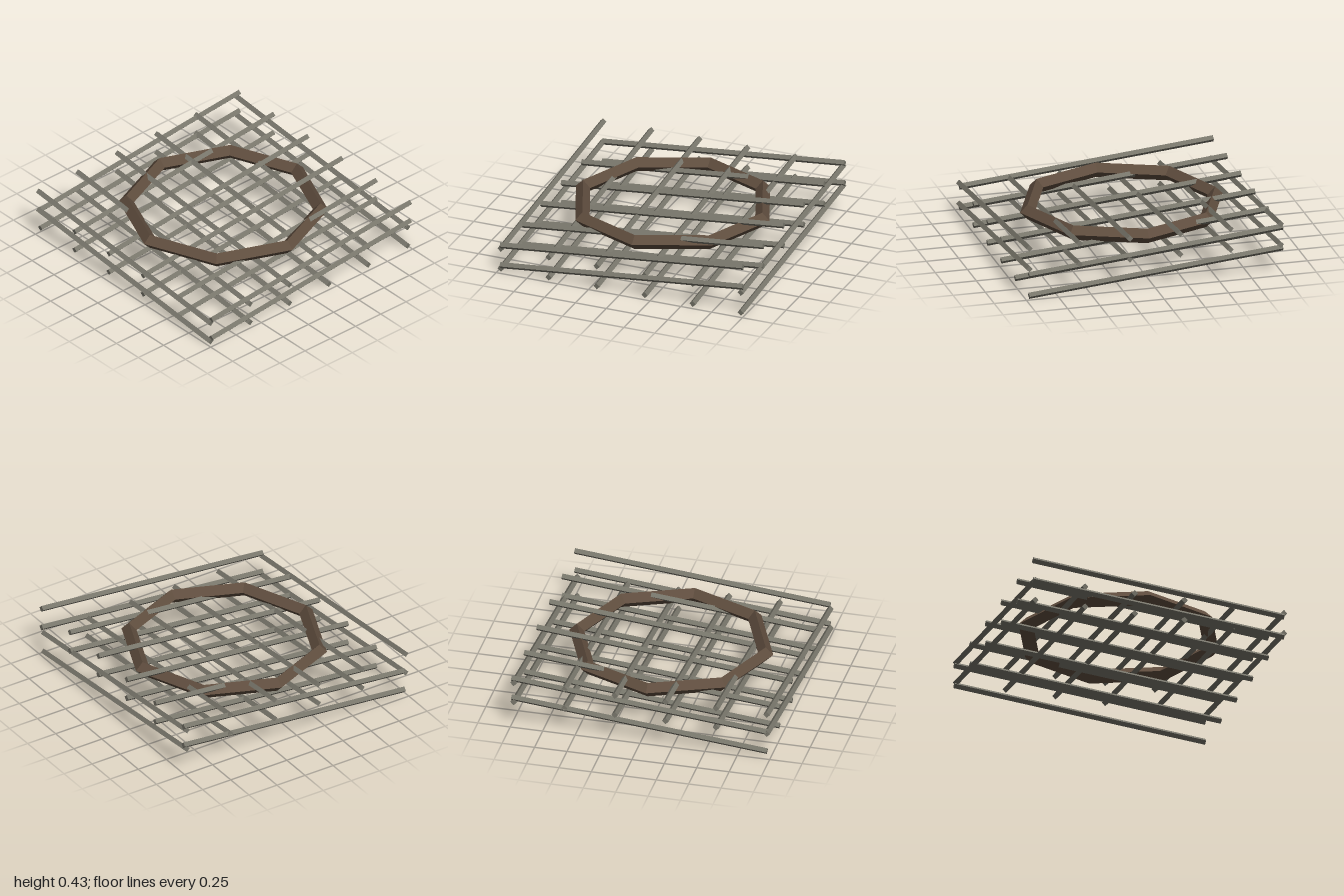
import * as THREE from 'three';

const barMaterial = new THREE.MeshStandardMaterial({ color: 0x77756a, flatShading: true });
const ringMaterial = new THREE.MeshStandardMaterial({ color: 0x5f4d3e, flatShading: true });
const UP = new THREE.Vector3(0, 1, 0);

// Four-sided bar, one edge upwards, running between two points
function bar(name, from, to) {
  const direction = to.clone().sub(from);
  const mesh = new THREE.Mesh(new THREE.CylinderGeometry(0.025, 0.025, direction.length(), 4), barMaterial);
  mesh.name = name;
  mesh.position.copy(from).add(to).multiplyScalar(0.5);
  mesh.quaternion.setFromUnitVectors(UP, direction.normalize());
  return mesh;
}

export function createModel() {
  const group = new THREE.Group();
  group.name = 'latticeWithRing';

  // Two stacked layers of sloping bars in each direction
  const count = 6, spacing = 0.39, layerGap = 0.165;
  for (let layer = 0; layer < 2; layer++) {
    const lift = layer * layerGap;
    for (let i = 0; i < count; i++) {
      const p = (i - (count - 1) / 2) * spacing;
      group.add(bar('crossBar',
        new THREE.Vector3(-0.974, 0.057 + lift, p),
        new THREE.Vector3(0.995, 0.246 + lift, p)));
      group.add(bar('longBar',
        new THREE.Vector3(p, 0.026 + lift, 0.974),
        new THREE.Vector3(p, 0.216 + lift, -0.995)));
    }
  }

  // Eight-sided ring lying level through the lattice
  const ring = new THREE.Mesh(new THREE.TorusGeometry(0.728, 0.058, 4, 8), ringMaterial);
  ring.name = 'ring';
  ring.rotation.x = -Math.PI / 2;
  ring.position.set(0.005, 0.318, -0.012);
  group.add(ring);

  return group;
}
